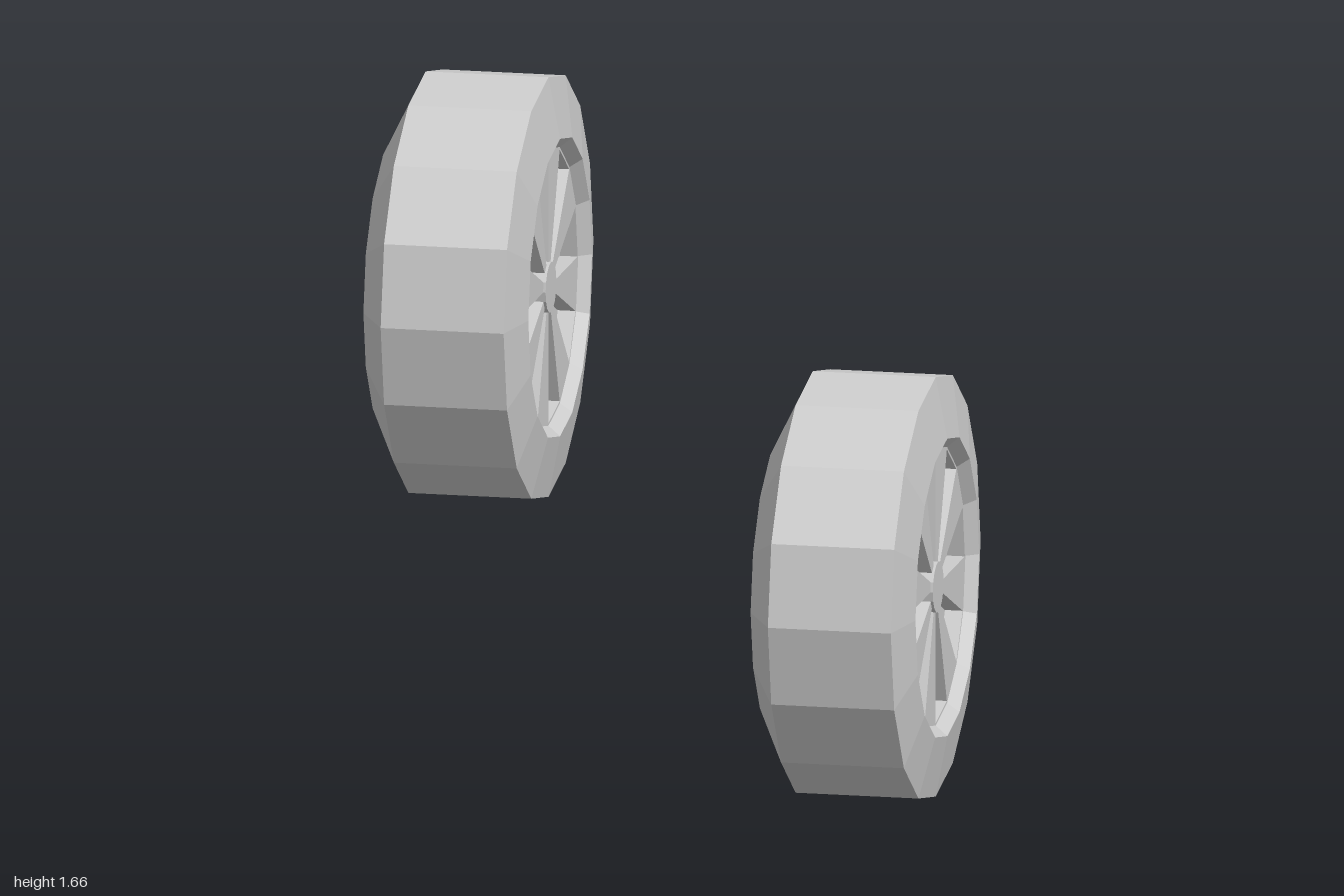
import * as THREE from 'three';

const SIDES = 16;
const STEP = Math.PI / 8;

const grey = new THREE.MeshStandardMaterial({ color: 0xcccccc, flatShading: true });
const greyOpen = new THREE.MeshStandardMaterial({ color: 0xcccccc, flatShading: true, side: THREE.DoubleSide });

function part(name, geometry, material = grey) {
  const mesh = new THREE.Mesh(geometry, material);
  mesh.name = name;
  return mesh;
}

// Turn a [radius, x] profile around the axle (x axis)
function turned(profile) {
  const points = profile.map(([r, x]) => new THREE.Vector2(r, x));
  return new THREE.LatheGeometry(points, SIDES).rotateZ(-Math.PI / 2);
}

// Point on the wheel face, angle clockwise from the top
const polar = (r, a) => new THREE.Vector2(r * Math.sin(a), r * Math.cos(a));

// Sixteen-sided plate with eight wedge slots
function spokeGeometry(depth) {
  const outline = [];
  for (let i = 0; i < SIDES; i++) outline.push(polar(0.28, -i * STEP));
  const shape = new THREE.Shape(outline);
  for (let k = 0; k < 8; k++) {
    const a = (2 * k + 1) * STEP;
    const b = a + STEP;
    shape.holes.push(new THREE.Path([polar(0.05, a), polar(0.27, a), polar(0.27, b), polar(0.05, b)]));
  }
  return new THREE.ExtrudeGeometry(shape, { depth, bevelEnabled: false }).rotateY(Math.PI / 2);
}

function createWheel(name) {
  const wheel = new THREE.Group();
  wheel.name = name;

  // Tyre with bevelled shoulders and the inner barrel, as a closed ring
  wheel.add(part('tyre', turned([
    [0.295, -0.163], [0.416, -0.103], [0.416, 0.14], [0.295, 0.163],
    [0.275, 0.14], [0.275, -0.135], [0.285, -0.145], [0.295, -0.163],
  ])));

  // Solid disc forming the floor of the slots
  wheel.add(part('rimDisc', turned([[0, 0.055], [0.278, 0.055], [0.278, 0.105], [0, 0.105]])));

  const spokes = part('spokePlate', spokeGeometry(0.035));
  spokes.position.x = 0.105;
  wheel.add(spokes);

  // Hub cap in the middle of the spokes
  wheel.add(part('hubCap', turned([[0.05, 0.105], [0.05, 0.145], [0, 0.145]])));

  // Hollow axle socket on the inner side
  wheel.add(part('axleSocket', turned([[0.045, -0.09], [0.045, 0.055]]), greyOpen));
  return wheel;
}

export function createModel() {
  const model = new THREE.Group();
  model.name = 'wheelPair';

  const upper = createWheel('upperWheel');
  upper.position.set(-0.258, 1.247, 0.584);
  const lower = createWheel('lowerWheel');
  lower.position.set(0.258, 0.416, -0.584);
  model.add(upper, lower);
  return model;
}
